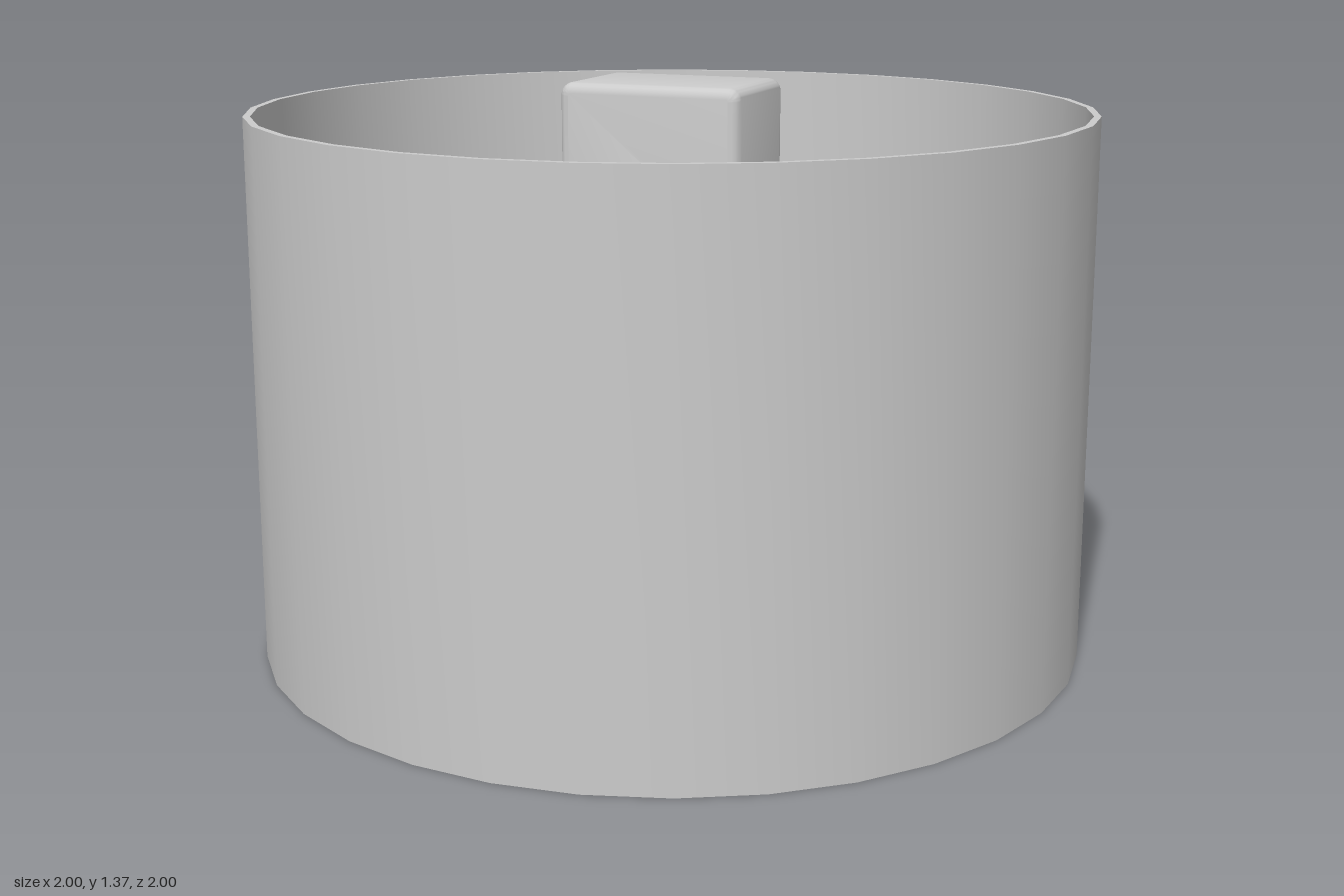
import * as THREE from 'three';
import { toCreasedNormals } from 'three/addons/utils/BufferGeometryUtils.js';

const material = new THREE.MeshStandardMaterial({ color: 0xcccccc });

function part(name, geometry) {
  const mesh = new THREE.Mesh(toCreasedNormals(geometry, 0.6), material);
  mesh.name = name;
  return mesh;
}

// Closed outline through the corners, each one rounded by radius r
function roundedShape(corners, r) {
  const shape = new THREE.Shape();
  const n = corners.length;
  corners.forEach((c, i) => {
    const toPrev = corners[(i + n - 1) % n].clone().sub(c).setLength(r);
    const toNext = corners[(i + 1) % n].clone().sub(c).setLength(r);
    const start = c.clone().add(toPrev);
    const end = c.clone().add(toNext);
    if (i === 0) shape.moveTo(start.x, start.y);
    else shape.lineTo(start.x, start.y);
    // circular arc about the inner centre of the corner
    const centre = c.clone().add(toPrev).add(toNext);
    const convex = toPrev.cross(toNext) < 0;
    const a0 = Math.atan2(start.y - centre.y, start.x - centre.x);
    const a1 = Math.atan2(end.y - centre.y, end.x - centre.x);
    shape.absarc(centre.x, centre.y, r, a0, a1, !convex);
  });
  shape.closePath();
  return shape;
}

export function createModel() {
  const group = new THREE.Group();
  group.name = 'crossInTube';

  // Thin-walled tube, open at both ends
  const outer = 1, inner = 0.983, height = 1.305;
  const wall = [[inner, 0], [outer, 0], [outer, height], [inner, height], [inner, 0]];
  group.add(part('tubeWall', new THREE.LatheGeometry(wall.map(([x, y]) => new THREE.Vector2(x, y)), 32)));

  // Solid cross with softened edges, standing in the middle of the tube
  const armX = 0.63, postX = 0.225, depth = 0.31, bevel = 0.025;
  const bottom = 0.18, top = 1.37, armBottom = 0.53, armTop = 1.005;
  const outline = [
    [-postX, bottom], [postX, bottom], [postX, armBottom], [armX, armBottom],
    [armX, armTop], [postX, armTop], [postX, top], [-postX, top],
    [-postX, armTop], [-armX, armTop], [-armX, armBottom], [-postX, armBottom],
  ].map(([x, y]) => new THREE.Vector2(x, y));
  const cross = new THREE.ExtrudeGeometry(roundedShape(outline, 0.03), {
    depth: depth - 2 * bevel,
    bevelEnabled: true,
    bevelThickness: bevel,
    bevelSize: bevel,
    bevelOffset: -bevel,
    bevelSegments: 4,
    curveSegments: 5,
  });
  cross.translate(0, 0, bevel - depth / 2);
  group.add(part('cross', cross));

  return group;
}
